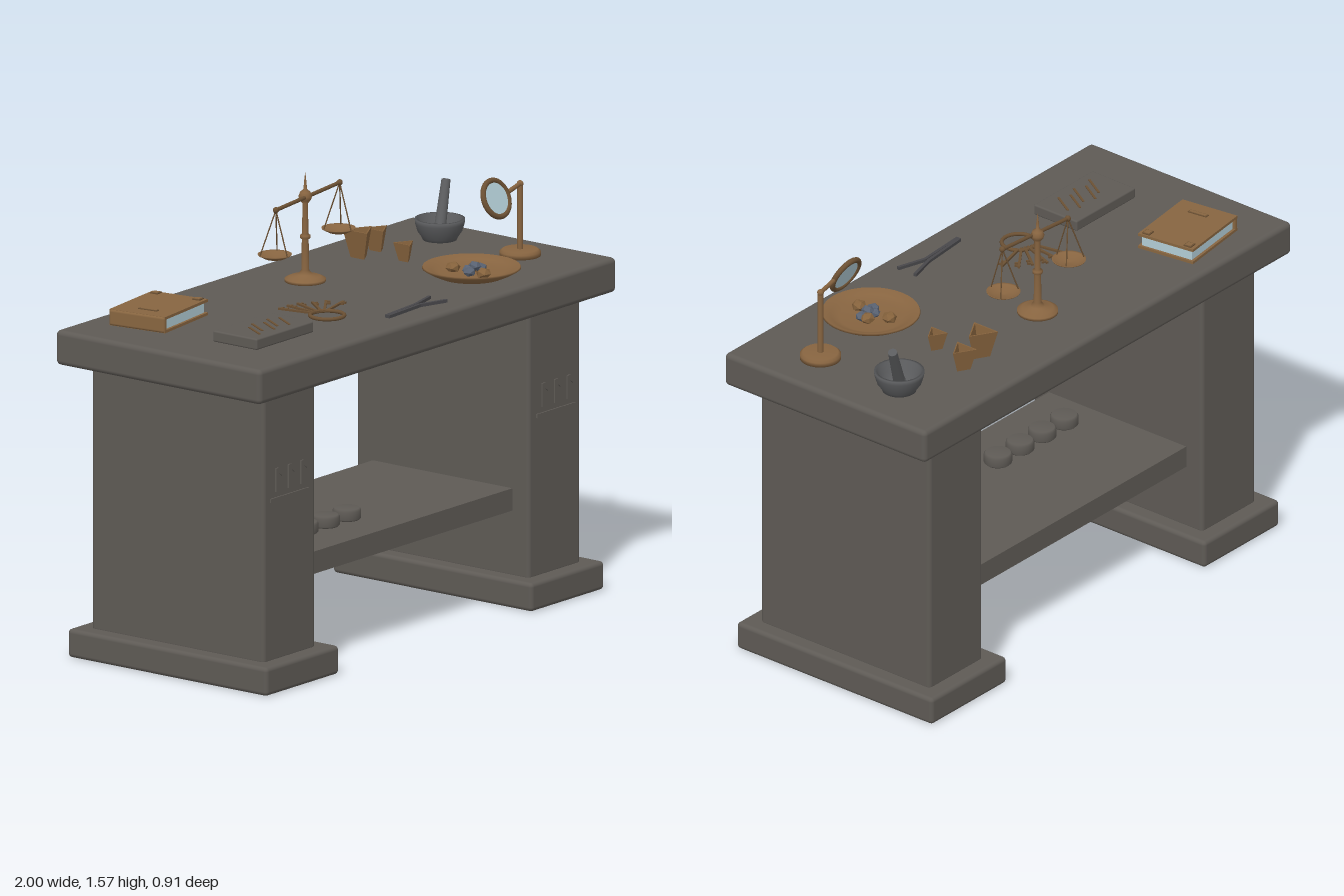
import * as THREE from 'three';
import { RoundedBoxGeometry } from 'three/addons/geometries/RoundedBoxGeometry.js';

const V = (x, y, z) => new THREE.Vector3(x, y, z);
const TOP = 1.185; // work surface height

export function createModel() {
  const root = new THREE.Group();
  root.name = 'stoneWorkbench';

  const mat = (name, color, extra = {}) => {
    const m = new THREE.MeshStandardMaterial({ color, ...extra });
    m.name = name;
    return m;
  };
  const stone = mat('stone', 0x5e5a55);
  const bronze = mat('bronze', 0x876440, { side: THREE.DoubleSide });
  const darkBronze = mat('darkBronze', 0x6b5033);
  const leather = mat('leather', 0x876540);
  const pale = mat('paleBlue', 0xb2cdd6);
  const iron = mat('iron', 0x48474a);
  const mortarGrey = mat('mortarGrey', 0x5a5b5d, { side: THREE.DoubleSide });
  const clay = mat('clay', 0x85623c, { side: THREE.DoubleSide, flatShading: true });
  const gem = mat('blueStone', 0x596272, { flatShading: true });

  const add = (name, geo, m, x = 0, y = 0, z = 0, parent = root) => {
    const mesh = new THREE.Mesh(geo, m);
    mesh.name = name;
    mesh.position.set(x, y, z);
    parent.add(mesh);
    return mesh;
  };
  const group = (name, x = 0, y = 0, z = 0) => {
    const g = new THREE.Group();
    g.name = name;
    g.position.set(x, y, z);
    root.add(g);
    return g;
  };
  const block = (name, w, h, d, r, m, x, y, z, parent) =>
    add(name, new RoundedBoxGeometry(w, h, d, 3, r), m, x, y, z, parent);
  const box = (name, w, h, d, m, x, y, z, parent) =>
    add(name, new THREE.BoxGeometry(w, h, d), m, x, y, z, parent);
  const lathe = (name, pts, seg, m, x, y, z, parent, start = 0) =>
    add(name, new THREE.LatheGeometry(pts.map(p => new THREE.Vector2(p[0], p[1])), seg, start), m, x, y, z, parent);
  // round rod between two points
  const rod = (name, a, b, r, m, parent, r2 = r, seg = 10) => {
    const d = b.clone().sub(a);
    const mesh = add(name, new THREE.CylinderGeometry(r2, r, d.length(), seg), m, 0, 0, 0, parent);
    mesh.position.copy(a).add(b).multiplyScalar(0.5);
    mesh.quaternion.setFromUnitVectors(V(0, 1, 0), d.normalize());
    return mesh;
  };
  // flat bar lying on a horizontal plane
  const bar = (name, x1, z1, x2, z2, w, h, y, m, parent) => {
    const mesh = box(name, Math.hypot(x2 - x1, z2 - z1), h, w, m, (x1 + x2) / 2, y, (z1 + z2) / 2, parent);
    mesh.rotation.y = -Math.atan2(z2 - z1, x2 - x1);
    return mesh;
  };

  // bench
  block('benchTop', 2, 0.125, 0.91, 0.018, stone, 0, 1.1225, 0);
  for (const s of [-1, 1]) {
    block('leg', 0.29, 0.97, 0.765, 0.015, stone, s * 0.742, 0.575, 0);
    block('foot', 0.41, 0.102, 0.885, 0.015, stone, s * 0.742, 0.051, 0);
    // chiselled ornament on the leg front
    box('carvedLine', 0.215, 0.014, 0.008, stone, s * 0.745, 0.676, 0.384);
    for (let i = 0; i < 3; i++) {
      const x = s * 0.745 - 0.07 + i * 0.07;
      box('carvedStroke', 0.016, 0.085, 0.008, stone, x, 0.745, 0.384);
      box('carvedNotch', 0.038, 0.014, 0.008, stone, x + 0.014, 0.772, 0.384).rotation.z = -0.6;
    }
  }
  box('shelf', 1.22, 0.08, 0.62, stone, 0, 0.373, 0);
  for (let i = 0; i < 4; i++)
    lathe('shelfPot', [[0, 0], [0.044, 0], [0.05, 0.006], [0.05, 0.034], [0.044, 0.042], [0, 0.042]],
      24, stone, -0.45 + i * 0.12, 0.413, 0.12);

  // book with clasps, spine on the -x side
  const book = group('book', -0.67, TOP, -0.256);
  book.rotation.y = 0.135;
  box('pages', 0.27, 0.04, 0.205, pale, 0.002, 0.029, 0, book);
  for (const y of [0.005, 0.053]) box('cover', 0.292, 0.01, 0.225, leather, 0, y, 0, book);
  block('spine', 0.022, 0.058, 0.225, 0.009, leather, -0.14, 0.029, 0, book);
  for (const z of [-0.085, 0.085]) {
    box('clasp', 0.03, 0.006, 0.03, darkBronze, 0.125, 0.059, z, book);
    box('claspInset', 0.022, 0.006, 0.022, leather, 0.125, 0.0605, z, book);
  }
  box('coverBadge', 0.018, 0.004, 0.075, darkBronze, -0.085, 0.059, 0.01, book);
  box('badgeInset', 0.011, 0.004, 0.067, leather, -0.085, 0.0605, 0.01, book);

  // slate with scratched strokes
  block('slate', 0.32, 0.04, 0.195, 0.006, stone, -0.625, TOP + 0.02, 0.173);
  for (let i = 0; i < 5; i++) {
    const x = -0.725 + i * 0.042, z = 0.235 - (i % 2) * 0.02;
    bar('slateStroke', x, z, x + 0.05, z - 0.085, 0.008, 0.004, TOP + 0.041, darkBronze);
  }

  // key ring
  const keys = group('keyRing', -0.27, TOP + 0.006, 0.175);
  add('ring', new THREE.TorusGeometry(0.06, 0.007, 10, 32), darkBronze, 0, 0, 0, keys).rotation.x = Math.PI / 2;
  [[-0.04, -0.185], [0.01, -0.185], [0.055, -0.175], [0.1, -0.145], [0.145, -0.12], [0.175, -0.068]].forEach(([x, z], i) => {
    const sx = -0.015 + i * 0.012, sz = -0.055 + i * 0.004;
    bar('keyShaft', sx, sz, x, z, 0.009, 0.007, 0.002, darkBronze, keys);
    const l = Math.hypot(x - sx, z - sz), dx = (x - sx) / l, dz = (z - sz) / l;
    for (const k of [0.012, 0.03])
      bar('keyTooth', x - dx * k, z - dz * k, x - dx * k - dz * 0.016, z - dz * k + dx * 0.016, 0.007, 0.007, 0.002, darkBronze, keys);
  });

  // tongs
  const tongs = group('tongs', 0, TOP + 0.006, 0);
  for (const [a, b, c] of [[0.345, 0.328, 0.3], [0.355, 0.343, 0.377]]) {
    bar('tongArm', -0.15, a, 0.04, b, 0.011, 0.011, 0, iron, tongs);
    bar('tongJaw', 0.036, b, 0.145, c, 0.011, 0.011, 0, iron, tongs);
  }
  box('tongHinge', 0.015, 0.011, 0.02, iron, -0.147, 0, 0.35, tongs);

  // balance scales
  const scales = group('balanceScales', 0.07, TOP, -0.192);
  lathe('scaleStand', [[0, 0], [0.072, 0], [0.072, 0.01], [0.055, 0.018], [0.025, 0.025], [0.014, 0.04], [0.012, 0.15],
    [0.018, 0.155], [0.018, 0.165], [0.011, 0.17], [0.01, 0.28], [0.02, 0.292], [0.024, 0.305], [0.018, 0.32],
    [0.006, 0.33], [0.005, 0.35], [0.0005, 0.39]], 24, bronze, 0, 0, 0, scales);
  rod('beam', V(-0.178, 0.292, 0.01), V(0.182, 0.319, 0.01), 0.007, darkBronze, scales);
  for (const [x, yTop, yPan] of [[-0.177, 0.292, 0.13], [0.18, 0.319, 0.152]]) {
    add('beamEnd', new THREE.SphereGeometry(0.011, 12, 8), darkBronze, x, yTop, 0.01, scales);
    lathe('pan', [[0, -0.016], [0.035, -0.012], [0.058, 0], [0.06, 0.004], [0.054, 0.002], [0.033, -0.007], [0, -0.011]],
      28, bronze, x, yPan, 0.005, scales);
    for (let i = 0; i < 3; i++) {
      const a = Math.PI / 2 + i * Math.PI * 2 / 3;
      rod('panChain', V(x + 0.056 * Math.cos(a), yPan, 0.005 + 0.056 * Math.sin(a)), V(x, yTop, 0.01), 0.0025, darkBronze, scales, 0.0025, 6);
    }
  }

  // magnifier on a stand
  const mag = group('magnifier', 0.81, TOP, 0.175);
  lathe('magnifierBase', [[0, 0], [0.072, 0], [0.072, 0.016], [0.062, 0.024], [0, 0.024]], 28, bronze, 0, 0, 0, mag);
  rod('magnifierPost', V(0, 0.02, 0), V(0, 0.26, 0), 0.01, bronze, mag);
  add('magnifierElbow', new THREE.SphereGeometry(0.012, 12, 8), bronze, 0, 0.258, 0, mag);
  rod('magnifierArm', V(0, 0.258, 0), V(-0.108, 0.252, 0.028), 0.008, bronze, mag);
  const head = new THREE.Group();
  head.name = 'lensHead';
  head.position.set(-0.175, 0.245, 0.032);
  head.rotation.x = -0.4;
  mag.add(head);
  add('lensRim', new THREE.TorusGeometry(0.065, 0.01, 12, 36), darkBronze, 0, 0, 0, head);
  add('lens', new THREE.CylinderGeometry(0.062, 0.062, 0.008, 32), pale, 0, 0, 0, head).rotation.x = Math.PI / 2;

  // dish with stones
  const dish = group('dish', 0.485, TOP, 0.217);
  lathe('dishBody', [[0, 0], [0.115, 0], [0.15, 0.016], [0.173, 0.03], [0.17, 0.036], [0.14, 0.024], [0.11, 0.012], [0, 0.01]],
    40, bronze, 0, 0, 0, dish);
  [[-0.02, -0.067, 1], [-0.02, 0.07, 1], [0.033, -0.012, 1], [0.035, 0.012, 0], [-0.012, -0.004, 0], [-0.035, 0.018, 0], [0.005, 0.01, 0]].forEach(([x, z, tan], i) => {
    const s = add('dishStone', new THREE.IcosahedronGeometry(tan ? 0.028 : 0.024, 0), tan ? clay : gem, x, 0.024 + (i === 6 ? 0.012 : 0), z, dish);
    s.scale.y = 0.75;
    s.rotation.y = i * 1.3;
  });

  // three-sided cups
  for (const [x, z, r, h] of [[0.442, -0.242, 0.063, 0.1], [0.555, -0.255, 0.052, 0.08], [0.502, -0.09, 0.043, 0.065]])
    lathe('triangularCup', [[0, 0], [r * 0.55, 0], [r, h], [r * 0.85, h], [r * 0.4, h * 0.2], [0, h * 0.2]],
      3, clay, x, TOP, z, root, Math.PI / 2);

  // mortar and pestle
  const mortar = group('mortarAndPestle', 0.812, TOP, -0.183);
  lathe('mortar', [[0, 0], [0.06, 0], [0.064, 0.01], [0.078, 0.03], [0.087, 0.06], [0.088, 0.075], [0.078, 0.075], [0.068, 0.04],
    [0.045, 0.018], [0, 0.014]], 32, mortarGrey, 0, 0, 0, mortar);
  rod('pestle', V(0, 0.035, 0), V(0.08, 0.192, -0.036), 0.021, mortarGrey, mortar, 0.016, 16);
  add('pestleHead', new THREE.SphereGeometry(0.022, 16, 10), mortarGrey, 0, 0.037, 0, mortar);

  return root;
}
